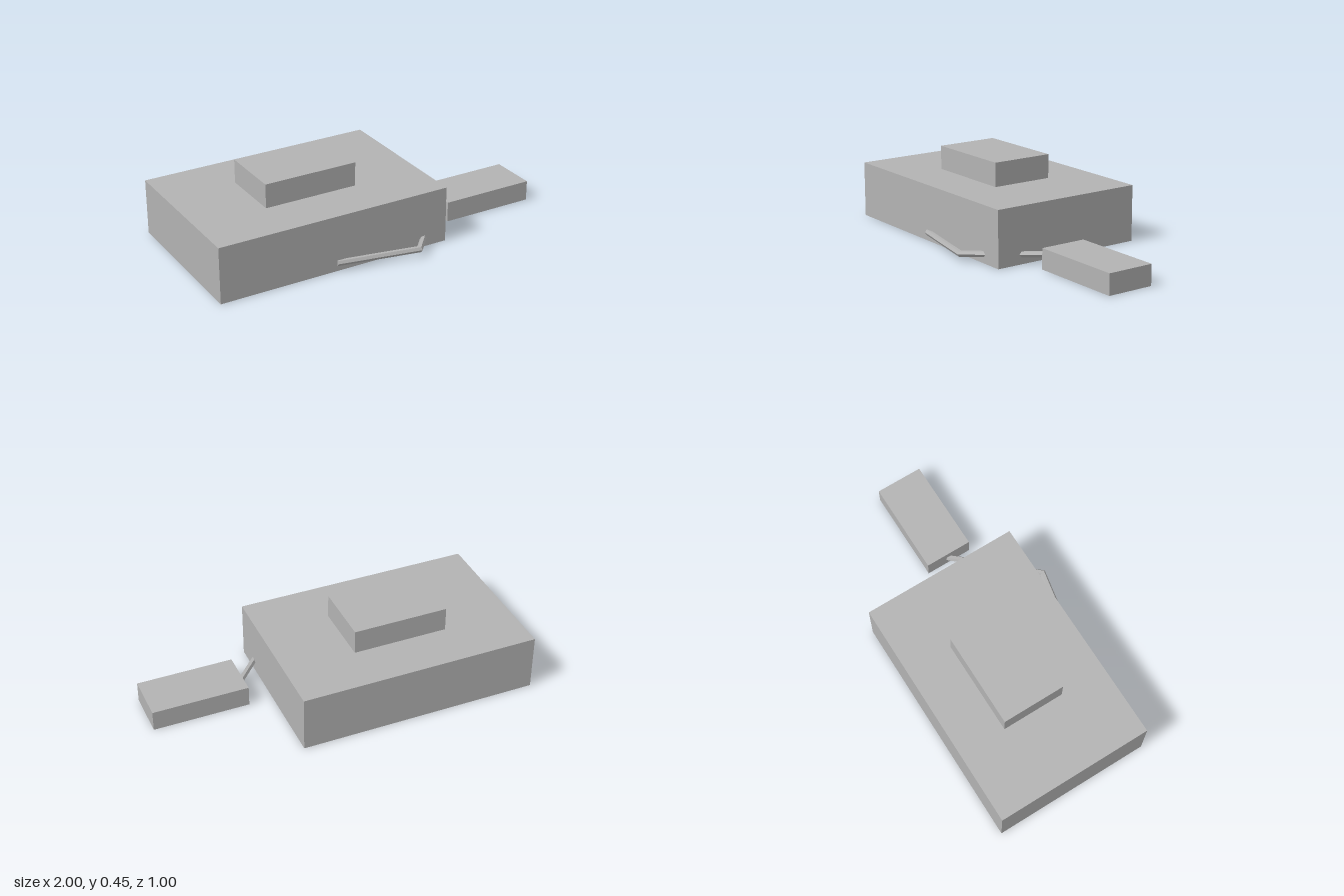
import * as THREE from 'three';

const grey = new THREE.MeshStandardMaterial({ color: 0xb3b3b3, side: THREE.DoubleSide, flatShading: true });
grey.name = 'plain grey';

// Thin-walled box without a floor, given by its extents
function openBox(name, [x0, x1], [y0, y1], [z0, z1]) {
  const geo = new THREE.BoxGeometry(x1 - x0, y1 - y0, z1 - z0);
  const index = Array.from(geo.index.array);
  index.splice(18, 6); // drop the bottom face
  geo.setIndex(index);
  geo.clearGroups();
  geo.translate((x0 + x1) / 2, (y0 + y1) / 2, (z0 + z1) / 2);
  const mesh = new THREE.Mesh(geo, grey);
  mesh.name = name;
  return mesh;
}

// Straight-sided pipe along a polyline, mitred at each bend and capped at both ends
function mitredPipe(name, points, radius, sides) {
  const up = new THREE.Vector3(0, 1, 0);
  const pos = [];
  const index = [];
  const last = points.length - 1;
  points.forEach((p, i) => {
    const before = points[Math.min(i, last - 1) + 1].clone().sub(points[Math.min(i, last - 1)]).normalize();
    const after = i > 0 ? p.clone().sub(points[i - 1]).normalize() : before;
    const tangent = before.clone().add(after).normalize();
    const across = new THREE.Vector3().crossVectors(tangent, up).normalize();
    const rise = new THREE.Vector3().crossVectors(across, tangent);
    const mitre = 1 / tangent.dot(before);
    for (let s = 0; s < sides; s++) {
      const a = (s / sides) * Math.PI * 2;
      const v = p.clone()
        .addScaledVector(across, Math.cos(a) * radius * mitre)
        .addScaledVector(rise, Math.sin(a) * radius);
      pos.push(v.x, v.y, v.z);
    }
  });
  for (let i = 0; i < last; i++) {
    for (let s = 0; s < sides; s++) {
      const a = i * sides + s;
      const b = i * sides + ((s + 1) % sides);
      index.push(a, b, a + sides, b, b + sides, a + sides);
    }
  }
  for (let s = 1; s < sides - 1; s++) {
    const e = last * sides;
    index.push(0, s + 1, s, e, e + s, e + s + 1);
  }
  const geo = new THREE.BufferGeometry();
  geo.setAttribute('position', new THREE.Float32BufferAttribute(pos, 3));
  geo.setIndex(index);
  const flat = geo.toNonIndexed();
  flat.computeVertexNormals();
  const mesh = new THREE.Mesh(flat, grey);
  mesh.name = name;
  return mesh;
}

export function createModel() {
  const model = new THREE.Group();
  model.name = 'model';

  // Main block, raised block on its roof, and the small detached block
  model.add(openBox('mainBlock', [-1, 0.33], [0, 0.313], [-0.497, 0.393]));
  model.add(openBox('roofBlock', [-0.6, -0.07], [0.313, 0.447], [-0.23, 0.125]));
  model.add(openBox('sideBlock', [0.465, 1], [0, 0.114], [-0.052, 0.215]));

  // Bent pipe joining the main block to the side block
  const path = [
    new THREE.Vector3(-0.335, 0.046, 0.391),
    new THREE.Vector3(0.112, 0.046, 0.48),
    new THREE.Vector3(0.472, 0.058, 0.075),
  ];
  model.add(mitredPipe('connectingPipe', path, 0.017, 6));

  return model;
}
